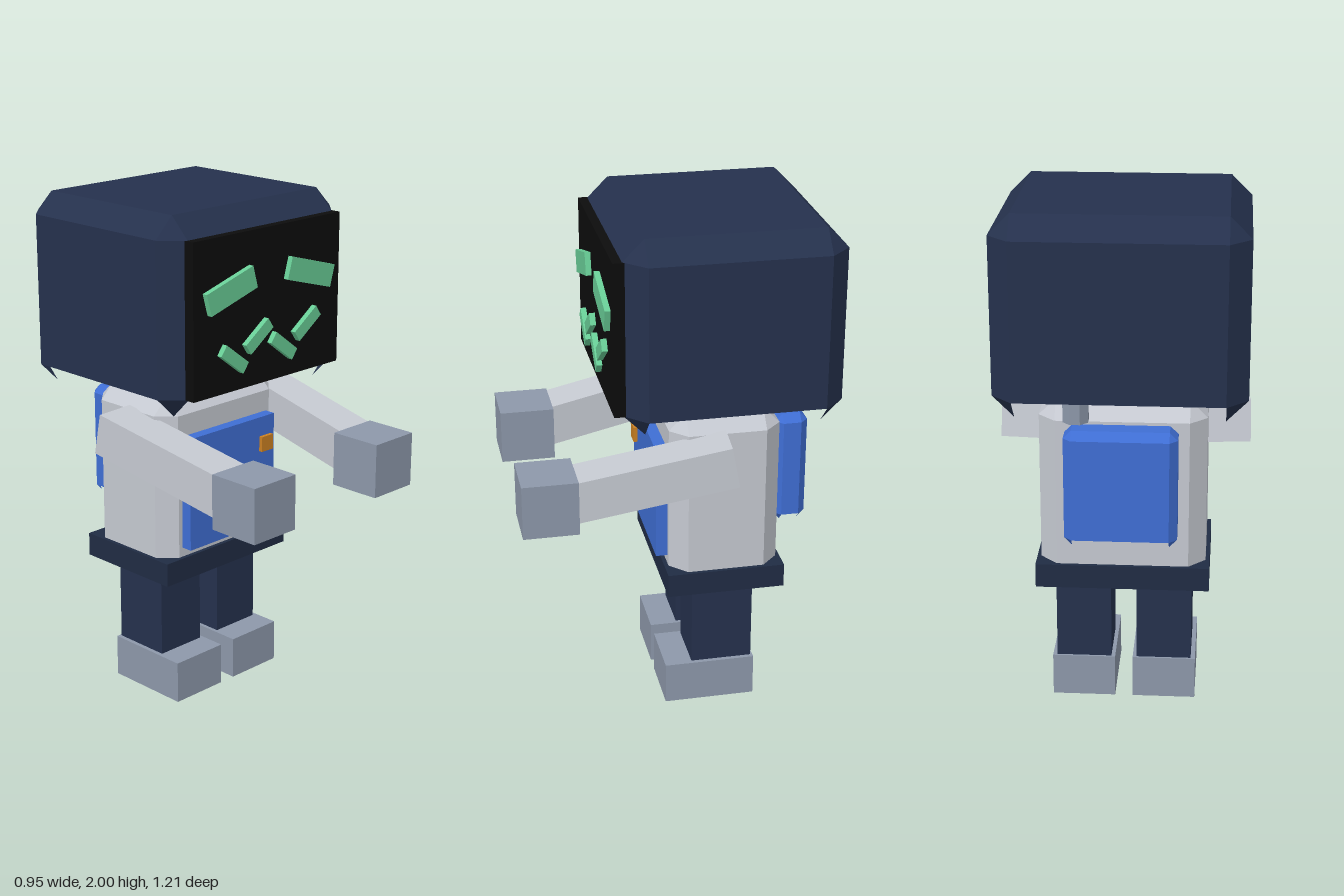
import * as THREE from 'three';

const mat = (name, color) => {
  const m = new THREE.MeshStandardMaterial({ color, side: THREE.DoubleSide, flatShading: true });
  m.name = name;
  return m;
};

// Box spanning the given ranges, chamfered by c; the underside is open with four corner points
function chamferBox([x0, x1], [y0, y1], [z0, z1], c) {
  const X = (x1 - x0) / 2, Z = (z1 - z0) / 2, cx = (x0 + x1) / 2, cz = (z0 + z1) / 2;
  const lo = y0 + c, hi = y1 - c, pos = [];
  const tri = (...pts) => pts.forEach(([p, y]) => pos.push(cx + p[0], y, cz + p[1]));
  const quad = (a, b, d, e) => { tri(a, b, d); tri(a, d, e); };
  const corners = [[-1, 1], [1, 1], [1, -1], [-1, -1]].map(([sx, sz]) => {
    const a = [sx * (X - c), sz * Z], b = [sx * X, sz * (Z - c)], t = [sx * (X - c), sz * (Z - c)];
    return sx * sz > 0 ? { p: a, q: b, t } : { p: b, q: a, t };
  });
  corners.forEach(({ p, q, t }, i) => {
    const n = corners[(i + 1) % 4];
    quad([p, lo], [q, lo], [q, hi], [p, hi]);
    quad([q, lo], [n.p, lo], [n.p, hi], [q, hi]);
    quad([q, hi], [n.p, hi], [n.t, y1], [t, y1]);
    tri([p, hi], [q, hi], [t, y1]);
    tri([q, lo], [p, lo], [t, y0]);
  });
  quad(...corners.map(k => [k.t, y1]));
  const g = new THREE.BufferGeometry();
  g.setAttribute('position', new THREE.Float32BufferAttribute(pos, 3));
  g.computeVertexNormals();
  return g;
}

// Plain box, optionally without its underside
function box(w, h, d, open = false) {
  const g = new THREE.BoxGeometry(w, h, d);
  if (open) {
    const idx = Array.from(g.index.array);
    idx.splice(18, 6);
    g.setIndex(idx);
    g.clearGroups();
  }
  return g;
}

export function createModel() {
  const root = new THREE.Group();
  const navy = mat('navy', 0x25314d), darkNavy = mat('darkNavy', 0x202c44);
  const black = mat('black', 0x0c0c0c), green = mat('green', 0x68cd96);
  const pale = mat('paleGrey', 0xc5c9d1), grey = mat('slateGrey', 0x8d98aa);
  const blue = mat('blue', 0x3f6ed4), orange = mat('orange', 0xcb8022);

  const add = (name, geo, material, x = 0, y = 0, z = 0) => {
    const m = new THREE.Mesh(geo, material);
    m.name = name;
    m.position.set(x, y, z);
    root.add(m);
    return m;
  };
  const span = (name, material, [x0, x1], [y0, y1], [z0, z1], open = false) =>
    add(name, box(x1 - x0, y1 - y0, z1 - z0, open), material, (x0 + x1) / 2, (y0 + y1) / 2, (z0 + z1) / 2);

  // Head and face screen
  add('head', chamferBox([-0.462, 0.462], [1.25, 2], [-0.607, 0.217], 0.08), navy);
  span('faceScreen', black, [-0.39, 0.39], [1.33, 1.92], [0.2, 0.252]);

  // Eyes and zigzag mouth
  const bar = (name, x, y, w, h, deg) => {
    add(name, box(w, h, 0.024), green, x, y, 0.262).rotation.z = THREE.MathUtils.degToRad(deg);
  };
  for (const s of [-1, 1]) bar('eye', s * 0.212, 1.718, 0.247, 0.088, -s * 16);
  [-0.198, -0.068, 0.066, 0.196].forEach((x, i) =>
    bar('mouthBar', x, i % 2 ? 1.521 : 1.458, 0.144, 0.048, i % 2 ? 35 : -37));

  // Torso, belt and chest panel
  add('torso', chamferBox([-0.315, 0.315], [0.508, 1.257], [-0.408, 0.022], 0.065), pale);
  span('belt', darkNavy, [-0.33, 0.33], [0.518, 0.612], [-0.423, 0.038], true);
  span('chestPanel', blue, [-0.232, 0.232], [0.65, 1.107], [0.0, 0.068]);

  // Backpack and the tube above it
  add('backpack', chamferBox([-0.21, 0.21], [0.738, 1.192], [-0.537, -0.408], 0.03), blue);
  const tube = new THREE.CylinderGeometry(0.05, 0.05, 0.22, 8);
  tube.rotateY(Math.PI / 8);
  add('backTube', tube, grey, 0.163, 1.335, -0.488);

  for (const s of [-1, 1]) {
    // Panel clip
    span('clip', orange, [s * 0.18 - 0.031, s * 0.18 + 0.031], [0.966, 1.028], [0.06, 0.084]);

    // Arm reaching forward, with a block hand
    const from = new THREE.Vector3(s * 0.393, 1.126, -0.193);
    const to = new THREE.Vector3(s * 0.345, 1.008, 0.43);
    const mid = from.clone().add(to).multiplyScalar(0.5);
    const arm = add('arm', box(0.165, 0.163, from.distanceTo(to), true), pale, mid.x, mid.y, mid.z);
    arm.lookAt(to);
    add('hand', box(0.212, 0.213, 0.212, true), grey, s * 0.331, 0.997, 0.5);

    // Leg and shoe
    add('leg', box(0.213, 0.36, 0.243), navy, s * 0.156, 0.32, -0.192);
    add('shoe', box(0.245, 0.17, 0.36, true), grey, s * 0.157, 0.085, -0.142);
  }
  return root;
}
